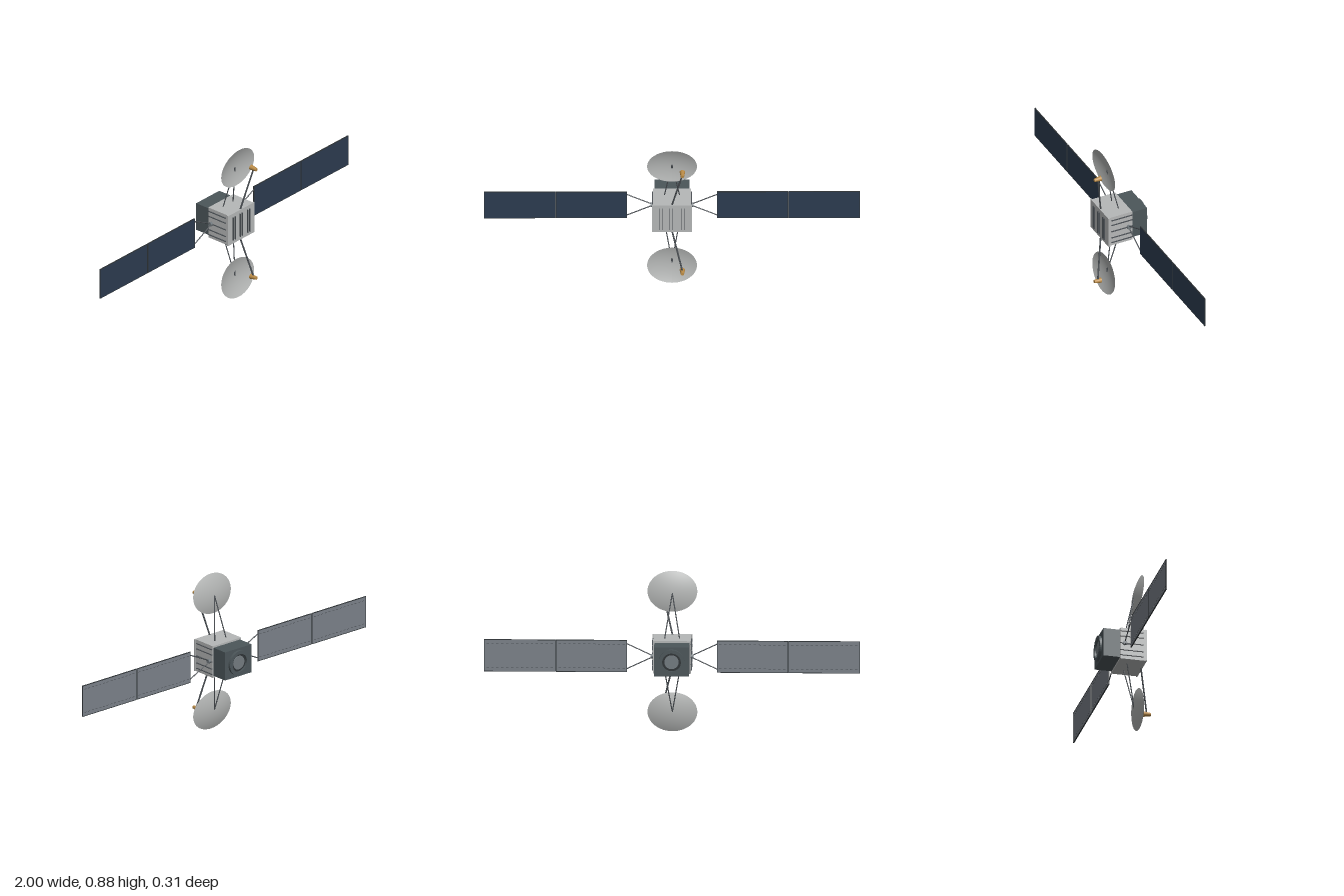
import * as THREE from 'three';

const mat = (name, color, side = THREE.FrontSide) => {
  const m = new THREE.MeshStandardMaterial({ color, side });
  m.name = name;
  return m;
};

export function createModel() {
  const silver = mat('silver', 0xb6b8b8);
  const dishGrey = mat('dishGrey', 0xb4b6b5, THREE.DoubleSide);
  const slate = mat('slate', 0x4c565a);
  const steel = mat('steel', 0x737b80);
  const dark = mat('dark', 0x2f3437);
  const strutGrey = mat('strutGrey', 0x4a4f54);
  const navy = mat('navy', 0x2c3b50);
  const panelBack = mat('panelBack', 0x7b8189);
  const gold = mat('gold', 0xb98a45);

  const model = new THREE.Group();
  model.name = 'satellite';
  const CY = 0.4425;   // height of the symmetry plane
  const PZ = -0.027;   // depth of the solar wings

  const add = (parent, name, geo, material, x = 0, y = 0, z = 0) => {
    const mesh = new THREE.Mesh(geo, material);
    mesh.name = name;
    mesh.position.set(x, y, z);
    parent.add(mesh);
    return mesh;
  };
  const box = (parent, name, material, w, h, d, x, y, z) =>
    add(parent, name, new THREE.BoxGeometry(w, h, d), material, x, y, z);
  const strut = (parent, name, a, b, r, material = strutGrey) => {
    const A = new THREE.Vector3(...a), B = new THREE.Vector3(...b);
    const dir = B.clone().sub(A);
    const mesh = add(parent, name, new THREE.CylinderGeometry(r, r, dir.length(), 8), material);
    mesh.position.copy(A).add(B).multiplyScalar(0.5);
    mesh.quaternion.setFromUnitVectors(new THREE.Vector3(0, 1, 0), dir.normalize());
    return mesh;
  };

  // Main body with thin cooling fins on the front and sides
  const body = new THREE.Group();
  body.name = 'body';
  model.add(body);
  box(body, 'bodyBlock', silver, 0.2, 0.18, 0.145, 0, CY, 0.0225);
  for (const x of [-0.068, -0.052, -0.012, 0.004, 0.048, 0.064])
    box(body, 'frontFin', strutGrey, 0.003, 0.138, 0.009, x, CY, 0.098);
  for (const s of [-1, 1]) {
    for (const y of [-0.07, -0.04, 0, 0.04, 0.07])
      box(body, 'sideFin', strutGrey, 0.009, 0.003, 0.126, s * 0.102, CY + y, 0.0135);
    box(body, 'frontTrim', silver, 0.008, 0.18, 0.008, s * 0.102, CY, 0.091);
  }

  // Rear module and round docking ring
  const rear = new THREE.Group();
  rear.name = 'rearModule';
  model.add(rear);
  box(rear, 'rearBlock', slate, 0.186, 0.16, 0.092, 0, CY, -0.096);
  const ring = new THREE.LatheGeometry([
    [0.069, 0], [0.069, 0.013], [0.05, 0.013], [0.05, 0],
  ].map(p => new THREE.Vector2(...p)), 40).toNonIndexed();
  ring.computeVertexNormals();
  ring.rotateX(-Math.PI / 2);
  slate.side = THREE.DoubleSide;
  add(rear, 'dockingRing', ring, slate, 0, CY, -0.142);
  const disc = (name, r, depth, material) => {
    const g = new THREE.CylinderGeometry(r, r, depth, 40);
    g.rotateX(Math.PI / 2);
    add(rear, name, g, material, 0, CY, -0.142 - depth / 2);
  };
  disc('ringFloor', 0.05, 0.002, dark);
  disc('ringCap', 0.038, 0.006, steel);

  // Solar wings, mirrored left and right
  for (const s of [-1, 1]) {
    const wing = new THREE.Group();
    wing.name = s > 0 ? 'leftWing' : 'rightWing';
    model.add(wing);
    const hub = new THREE.CylinderGeometry(0.012, 0.012, 0.014, 8);
    hub.rotateZ(Math.PI / 2);
    add(wing, 'wingHub', hub, steel, s * 0.107, CY, PZ);

    for (const t of [-1, 1])
      strut(wing, 'wingStrut', [s * 0.108, CY + t * 0.006, PZ],
        [s * 0.242, CY + t * 0.07, PZ], 0.003);

    for (const [x0, x1] of [[0.238, 0.6165], [0.6195, 1]]) {
      const w = x1 - x0, cx = s * (x0 + x1) / 2;
      box(wing, 'solarCells', navy, w - 0.003, 0.173, 0.002, cx, CY, PZ + 0.0015);
      box(wing, 'panelBack', panelBack, w - 0.003, 0.173, 0.002, cx, CY, PZ - 0.0005);
      // Frame bars and dashed seams on the back
      for (const t of [-1, 1]) {
        box(wing, 'frameRail', dark, w, 0.003, 0.006, cx, CY + t * 0.0865, PZ);
        box(wing, 'frameEnd', dark, 0.003, 0.176, 0.006, cx + t * (w / 2 - 0.0015), CY, PZ);
        for (let i = 0; i < 14; i++)
          box(wing, 'backSeam', strutGrey, 0.013, 0.0025, 0.001,
            cx + (i - 6.5) * w / 14.5, CY + t * 0.066, PZ - 0.002);
      }
    }
    box(wing, 'panelHinge', steel, 0.004, 0.176, 0.003, s * 0.618, CY, PZ);
  }

  // Upper and lower antennas: dish, mast legs, feed arm and horn
  for (const t of [1, -1]) {
    const antenna = new THREE.Group();
    antenna.name = t > 0 ? 'upperAntenna' : 'lowerAntenna';
    model.add(antenna);
    const Y = v => CY + t * v;

    const profile = [];
    for (let i = 0; i <= 10; i++) {
      const r = i / 10;
      profile.push(new THREE.Vector2(Math.max(r, 0.0001) * 0.1105, -0.021 * (1 - r * r)));
    }
    const dishGeo = new THREE.LatheGeometry(profile, 48);
    dishGeo.rotateX(Math.PI / 2);
    dishGeo.scale(1.2, 1, 1);
    dishGeo.computeVertexNormals();
    const dish = add(antenna, 'dish', dishGeo, dishGrey, 0, Y(0.332), 0.07);
    dish.rotation.x = t * 0.092;

    for (const s of [-1, 1])
      strut(antenna, 'mastLeg', [s * 0.04, Y(0.088), 0.002], [0, Y(0.328), 0.051], 0.003);
    strut(antenna, 'feedArm', [0, Y(0.088), 0.088], [0.055, Y(0.322), 0.133], 0.0045);

    // Horn opens toward the dish
    const hornGeo = new THREE.CylinderGeometry(0.009, 0.0145, 0.04, 16);
    hornGeo.rotateX(Math.PI / 2);
    const horn = add(antenna, 'feedHorn', hornGeo, gold, 0.055, Y(0.328), 0.135);
    horn.rotation.x = t * 0.06;
  }
  return model;
}
